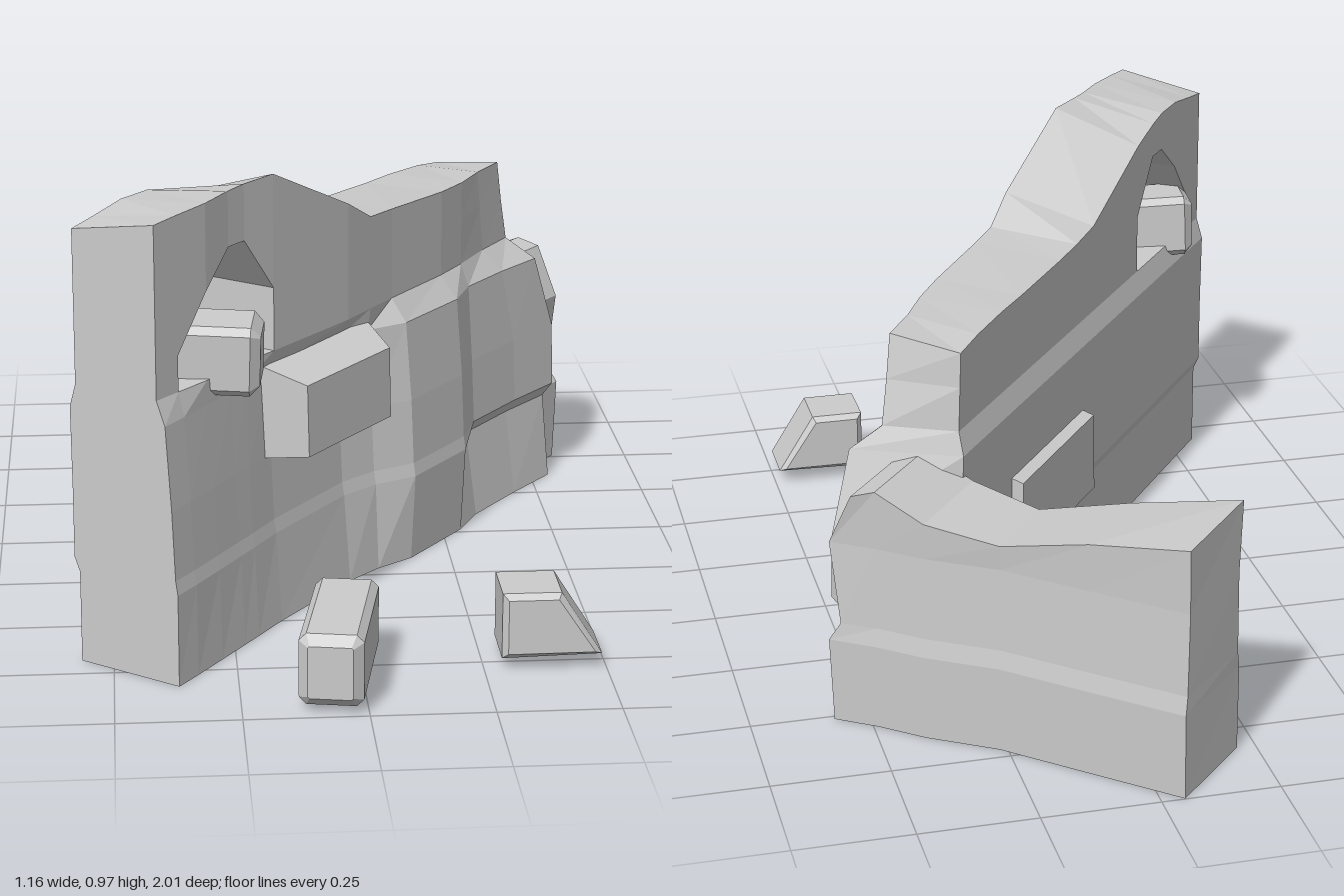
import * as THREE from 'three';

const material = new THREE.MeshStandardMaterial({ color: 0xcccccc, flatShading: true });

// Closed slab of nc x nr vertices per side; point(i, j, back) returns [s along wall, y, d outward].
function slab(name, origin, dir, nc, nr, point, open = () => false) {
  const [ux, uz] = dir;
  const pos = [];
  const at = (i, j, back) => {
    const [s, y, d] = point(i, j, back);
    return [origin[0] + ux * s - uz * d, y, origin[1] + uz * s + ux * d];
  };
  const quad = (a, b, c, d) => pos.push(...a, ...b, ...c, ...a, ...c, ...d);
  const solid = (i, j) => i >= 0 && j >= 0 && i < nc - 1 && j < nr - 1 && !open(i, j);
  for (let i = 0; i < nc - 1; i++) {
    for (let j = 0; j < nr - 1; j++) {
      if (!solid(i, j)) continue;
      const F = (a, b) => at(i + a, j + b, false);
      const B = (a, b) => at(i + a, j + b, true);
      quad(F(0, 0), F(1, 0), F(1, 1), F(0, 1));
      quad(B(1, 0), B(0, 0), B(0, 1), B(1, 1));
      // rims wherever the neighbouring cell is missing
      if (!solid(i, j + 1)) quad(F(0, 1), F(1, 1), B(1, 1), B(0, 1));
      if (!solid(i, j - 1)) quad(B(0, 0), B(1, 0), F(1, 0), F(0, 0));
      if (!solid(i - 1, j)) quad(B(0, 0), F(0, 0), F(0, 1), B(0, 1));
      if (!solid(i + 1, j)) quad(F(1, 0), B(1, 0), B(1, 1), F(1, 1));
    }
  }
  const g = new THREE.BufferGeometry();
  g.setAttribute('position', new THREE.Float32BufferAttribute(pos, 3));
  g.computeVertexNormals();
  const mesh = new THREE.Mesh(g, material);
  mesh.name = name;
  return mesh;
}

// Chamfered stone: side outline in x/y, extruded along z and centred.
function stone(name, outline, length, bevel) {
  const shape = new THREE.Shape(outline.map(([x, y]) => new THREE.Vector2(x, y)));
  const g = new THREE.ExtrudeGeometry(shape, {
    depth: length - 2 * bevel, bevelEnabled: true, bevelSegments: 1,
    bevelSize: bevel, bevelOffset: -bevel, bevelThickness: bevel,
  });
  g.translate(0, 0, bevel - length / 2);
  const mesh = new THREE.Mesh(g, material);
  mesh.name = name;
  return mesh;
}

const box = (w, h) => {
  const x = w / 2, y = h / 2, c = 0.015;
  return [[-x + c, -y], [x - c, -y], [x, -y + c], [x, y - c], [x - c, y], [-x + c, y], [-x, y - c], [-x, -y + c]];
};

export function createModel() {
  const group = new THREE.Group();

  // Long wall with an arched hole
  const origin = [-0.37, 0.83], dir = [0.605, -0.796];
  const cols = [0, 0.07, 0.162, 0.25, 0.306, 0.4, 0.67, 0.767, 0.86, 1.076, 1.18, 1.35, 1.5];
  const crest = [0.95, 0.955, 0.96, 0.965, 0.968, 0.97, 0.85, 0.8, 0.796, 0.787, 0.785, 0.785, 0.785];
  const backCrest = [0.915, 0.925, 0.94, 0.94, 0.93, 0.905, 0.8, 0.79, 0.785, 0.78, 0.78, 0.775, 0.765];
  const mid = [0.67, 0.67, 0.78, 0.85, 0.85, 0.73, 0.71, 0.7, 0.7, 0.7, 0.7, 0.7, 0.69];
  // offset of each column below and above the ledge, then of each course
  const lower = [0, -0.004, -0.012, -0.02, -0.025, -0.035, -0.04, -0.02, 0.025, 0.025, -0.01, -0.01, 0];
  const upper = [-0.045, -0.042, -0.038, -0.045, -0.045, -0.038, -0.03, -0.035, -0.04, -0.045, -0.055, -0.075, -0.085];
  const rows = [0, 0.195, 0.225, 0.37, 0.545, 0.595];
  const frontD = [0, 0, -0.005, -0.012, -0.025];
  const backD = [-0.245, -0.245, -0.258, -0.258, -0.26, -0.245, -0.245, -0.245];
  const follow = [0.6, 1, 1, 1, 0.9];
  const endShift = [0.01, 0.02, 0.03, 0.035, -0.03, -0.065, -0.09, -0.11];
  const longPoint = (i, j, back) => {
    let s = cols[i];
    if (i === 12) s += back ? Math.min(endShift[j] * 0.3, 0) - 0.08 : endShift[j];
    if (i === 11) s += back ? -0.05 : endShift[j] * 0.6;
    const top = back ? backCrest[i] : crest[i];
    const y = j < 6 ? rows[j] : j === 6 ? mid[i] : top;
    let d = back ? backD[j] : j < 5 ? frontD[j] + lower[i] * follow[j] : upper[i];
    if (!back && i > 9 && j === 1) d -= 0.025;             // undercut course
    return [s, y, d];
  };
  group.add(slab('longWall', origin, dir, 13, 8, longPoint, (i, j) => j === 5 && i >= 1 && i <= 4));

  // Stones jutting from the long wall: ends in s, each face's corners as [y, d]; the far end may splay
  const jut = (name, s0, s1, front, back, splay) => group.add(slab(name, origin, dir, 2, 2, (i, j, b) => {
    const [y, d] = (b ? back : front)[j];
    return [i ? s1 + (b ? splay : 0) : s0, y, d];
  }));
  jut('frontJuttingStone', 0.374, 0.69, [[0.39, 0.066], [0.543, 0.062]], [[0.355, -0.1], [0.575, -0.1]], 0.12);
  jut('backJuttingStone', 0.76, 1.16, [[0.2, -0.15], [0.42, -0.15]], [[0.2, -0.288], [0.38, -0.285]], 0);

  // Short return wall
  const sCols = [0, 0.24, 0.44, 0.6, 0.71, 0.78];
  const sCrest = [0.565, 0.515, 0.465, 0.49, 0.54, 0.525];
  const sRows = [0, 0.19, 0.23, 0.41];
  const sFront = [0, 0, -0.01, -0.015, 0], sBack = [-0.232, -0.237, -0.23, -0.225, -0.23];
  const wave = [0, -0.01, -0.02, 0, 0, 0.01];
  const shortEnd = [0.03, 0.035, 0.01, 0.035, -0.02];
  group.add(slab('returnWall', [-0.21, -0.83], [0.78, 0.626], 6, 5, (i, j, back) => [
    sCols[i] + (i === 5 ? shortEnd[j] : i === 0 && back ? 0.02 : 0),
    j < 4 ? sRows[j] : sCrest[i] - (back && i === 0 ? 0.015 : 0),
    back ? sBack[j] - wave[i] : sFront[j] + wave[i],
  ]));

  // Stone lodged in the hole
  const lodged = stone('lodgedStone', box(0.14, 0.145), 0.325, 0.02);
  lodged.position.set(-0.35, 0.633, 0.595);
  lodged.rotation.set(0.03, 1.45, 0.04, 'YXZ');
  group.add(lodged);

  // Fallen stones on the ground
  const fallen = stone('fallenStone', box(0.13, 0.15), 0.335, 0.02);
  fallen.position.set(-0.048, 0.09, 0.83);
  fallen.rotation.y = -0.18;
  group.add(fallen);

  const wedge = stone('brokenStone', [[-0.1, -0.07], [0.105, -0.065], [0.02, 0.07], [-0.1, 0.07]], 0.145, 0.012);
  wedge.position.set(0.385, 0.097, 0.735);
  group.add(wedge);

  return group;
}
